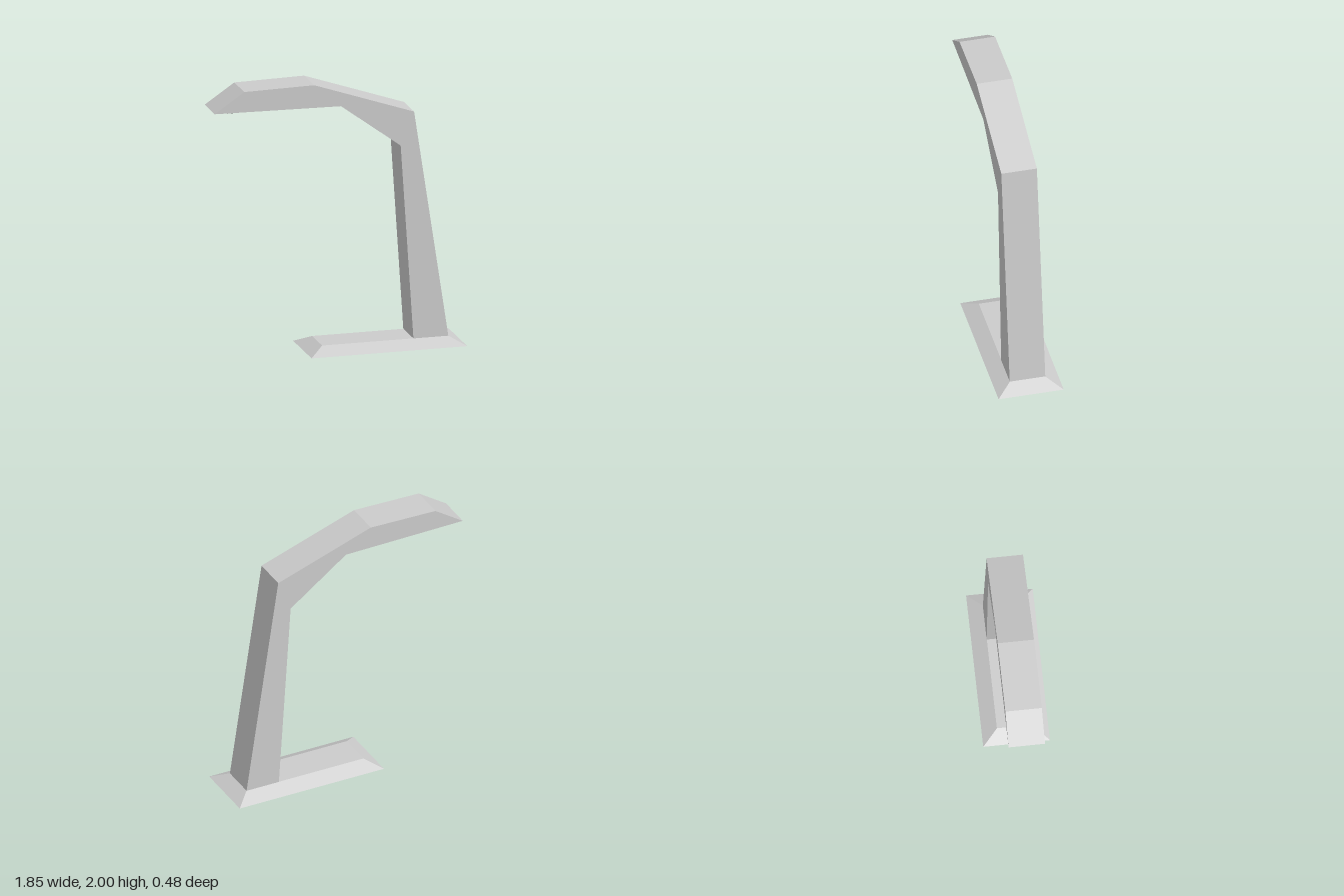
import * as THREE from 'three';

const material = new THREE.MeshStandardMaterial({ color: 0xcccccc, flatShading: true });

// Box resting on y = 0 whose top edges are pulled in by inset on every side
function bevelledSlab(name, length, height, width, inset) {
  const geometry = new THREE.BoxGeometry(length, height, width).translate(0, height / 2, 0);
  const p = geometry.attributes.position;
  for (let i = 0; i < p.count; i++) {
    if (p.getY(i) < height / 2) continue;
    p.setX(i, p.getX(i) - Math.sign(p.getX(i)) * inset);
    p.setZ(i, p.getZ(i) - Math.sign(p.getZ(i)) * inset);
  }
  geometry.computeVertexNormals();
  const mesh = new THREE.Mesh(geometry, material);
  mesh.name = name;
  return mesh;
}

export function createModel() {
  const lamp = new THREE.Group();
  lamp.name = 'deskLamp';

  // Flat foot with sloping edges
  const base = bevelledSlab('base', 1.16, 0.057, 0.48, 0.11);
  base.position.x = 0.345;
  lamp.add(base);

  // Post, bent neck and head in one side profile
  const profile = [
    [0.555, 0.055], [0.815, 0.055], [0.56, 1.745], [-0.185, 2],
    [-0.705, 1.99], [-0.925, 1.842], [0.015, 1.828], [0.46, 1.5],
  ].map(([x, y]) => new THREE.Vector2(x, y));
  const width = 0.262;
  const armGeometry = new THREE.ExtrudeGeometry(new THREE.Shape(profile), { depth: width, bevelEnabled: false });
  const arm = new THREE.Mesh(armGeometry.translate(0, 0, -width / 2), material);
  arm.name = 'arm';
  lamp.add(arm);

  // Thin light panel under the head, following its slight slope
  const panel = bevelledSlab('lightPanel', 0.82, 0.009, 0.175, 0.02);
  panel.position.set(-0.425, 1.8345, 0);
  panel.rotation.set(Math.PI, 0, -0.015);
  lamp.add(panel);

  return lamp;
}
